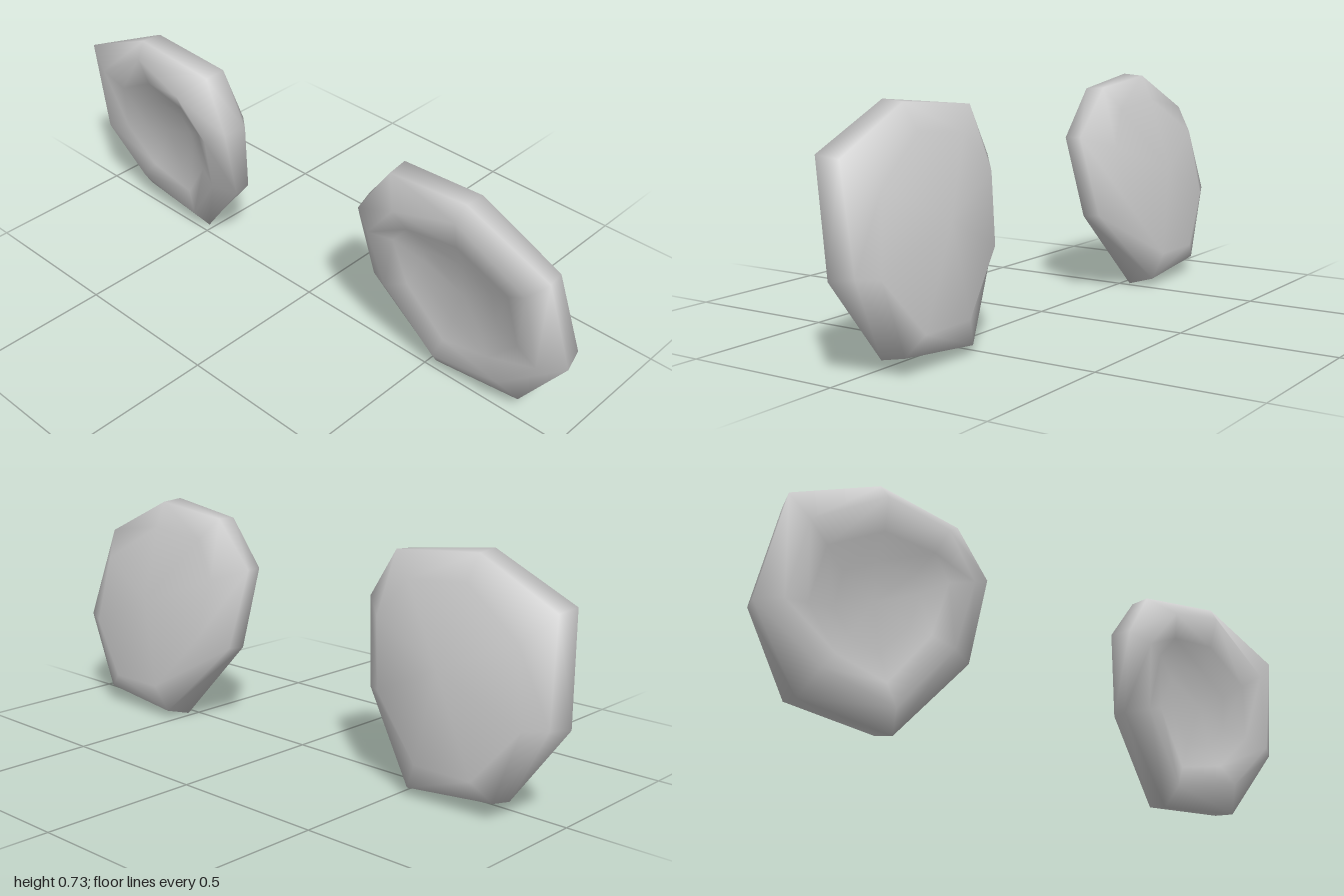
import * as THREE from 'three';

// Eight-sided cross-sections of one ear, from back to front, clockwise from the top inner corner
const RINGS = [
  // back face
  [[0.45, 0.62, -0.03], [0.66, 0.64, -0.03], [0.87, 0.51, -0.075], [0.91, 0.28, -0.104],
    [0.77, 0.11, -0.136], [0.57, 0.11, -0.136], [0.4, 0.29, -0.102], [0.36, 0.5, -0.062]],
  // outer edge, back
  [[0.38, 0.695, 0.0], [0.67, 0.72, 0.012], [0.94, 0.59, 0.005], [0.98, 0.29, -0.075],
    [0.83, 0.055, -0.112], [0.53, 0.025, -0.115], [0.31, 0.27, -0.028], [0.265, 0.535, 0.02]],
  // outer edge, front
  [[0.385, 0.69, 0.07], [0.67, 0.725, 0.085], [0.955, 0.6, 0.075], [1.0, 0.28, 0.0],
    [0.83, 0.038, -0.03], [0.52, 0.0, -0.03], [0.305, 0.265, 0.03], [0.285, 0.53, 0.09]],
  // crest of the rim
  [[0.455, 0.625, 0.138], [0.66, 0.675, 0.118], [0.89, 0.53, 0.09], [0.93, 0.28, 0.057],
    [0.79, 0.12, 0.03], [0.54, 0.066, 0.02], [0.38, 0.28, 0.07], [0.35, 0.49, 0.12]],
  // hollow wall
  [[0.48, 0.555, 0.1], [0.65, 0.575, 0.09], [0.82, 0.48, 0.067], [0.85, 0.3, 0.037],
    [0.74, 0.18, 0.017], [0.57, 0.14, 0.01], [0.45, 0.31, 0.047], [0.42, 0.48, 0.087]],
  // hollow floor
  [[0.53, 0.48, 0.058], [0.65, 0.49, 0.053], [0.75, 0.43, 0.038], [0.76, 0.32, 0.02],
    [0.7, 0.25, 0.01], [0.6, 0.23, 0.008], [0.52, 0.33, 0.03], [0.5, 0.43, 0.05]],
];
const BACK = [0.63, 0.4, -0.12];
const FLOOR = [0.64, 0.37, 0.03];

// Closed smooth skin over the rings; side = -1 mirrors it
function earGeometry(side) {
  const n = 8;
  const points = [...RINGS.flat(), BACK, FLOOR];
  const back = points.length - 2, floor = points.length - 1;
  const index = [];
  const tri = (a, b, c) => (side > 0 ? index.push(a, b, c) : index.push(a, c, b));
  for (let i = 0; i < n; i++) {
    const k = (i + 1) % n;
    tri(back, i, k);
    for (let j = 0; j < RINGS.length - 1; j++) {
      const a = j * n + i, b = j * n + k;
      tri(a, a + n, b + n);
      tri(a, b + n, b);
    }
    const last = (RINGS.length - 1) * n;
    tri(last + i, floor, last + k);
  }
  const geometry = new THREE.BufferGeometry();
  const positions = points.flatMap(([x, y, z]) => [x * side, y, z]);
  geometry.setAttribute('position', new THREE.Float32BufferAttribute(positions, 3));
  geometry.setIndex(index);
  geometry.computeVertexNormals();
  return geometry;
}

export function createModel() {
  const group = new THREE.Group();
  group.name = 'ears';
  const grey = new THREE.MeshStandardMaterial({ color: 0xcccccc });
  grey.name = 'light grey';
  for (const [name, side] of [['leftEar', 1], ['rightEar', -1]]) {
    const ear = new THREE.Mesh(earGeometry(side), grey);
    ear.name = name;
    group.add(ear);
  }
  return group;
}
